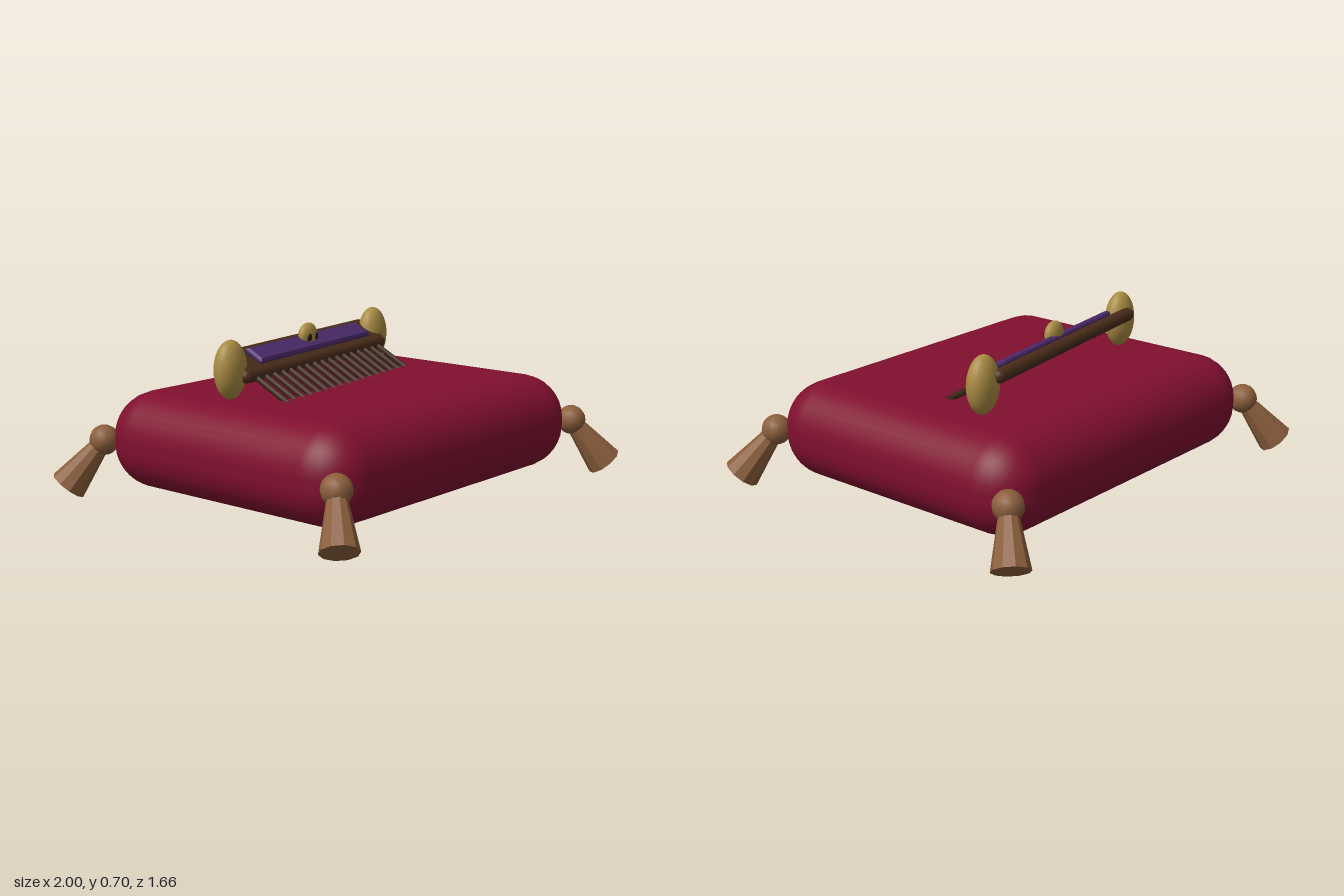
import * as THREE from 'three';
import { RoundedBoxGeometry } from 'three/addons/geometries/RoundedBoxGeometry.js';

const material = (name, color, flatShading = false) => {
  const m = new THREE.MeshStandardMaterial({ color, flatShading });
  m.name = name;
  return m;
};

function add(parent, name, geometry, mat, x = 0, y = 0, z = 0) {
  const mesh = new THREE.Mesh(geometry, mat);
  mesh.name = name;
  mesh.position.set(x, y, z);
  parent.add(mesh);
  return mesh;
}

export function createModel() {
  const velvet = material('burgundy velvet', 0x800f2f);
  const cord = material('tan cord', 0x8b5e3c);
  const wood = material('dark wood', 0x4a2c1a);
  const toothWood = material('darker wood', 0x3b2416);
  const gold = material('old gold', 0xa98b43);
  const purple = material('purple inlay', 0x4b2a6b);
  const socket = material('socket brown', 0x2a1810);

  const model = new THREE.Group();
  model.name = 'combOnCushion';

  // Cushion
  add(model, 'cushion', new RoundedBoxGeometry(1.68, 0.42, 1.35, 4, 0.195), velvet, 0, 0.25, 0);

  // Corner tassels: a knot and a flared faceted skirt
  const knotGeo = new THREE.SphereGeometry(0.065, 12, 10);
  const up = new THREE.Vector3(0, 1, 0);
  const skirtGeo = new THREE.CylinderGeometry(0.035, 0.08, 0.25, 10).toNonIndexed();
  skirtGeo.computeVertexNormals();
  for (const sx of [-1, 1]) for (const sz of [-1, 1]) {
    const tassel = new THREE.Group();
    tassel.name = 'tassel';
    model.add(tassel);
    const top = new THREE.Vector3(sx * 0.815, 0.25, sz * 0.65);
    const end = new THREE.Vector3(sx * 0.93, 0.05, sz * 0.762);
    add(tassel, 'tasselKnot', knotGeo, cord, top.x, top.y, top.z);
    const skirt = add(tassel, 'tasselSkirt', skirtGeo, cord);
    skirt.position.copy(top).lerp(end, 0.5);
    skirt.quaternion.setFromUnitVectors(up, top.clone().sub(end).normalize());
  }

  // Comb: turned on the cushion; its plate leans forward onto its teeth
  const comb = new THREE.Group();
  comb.name = 'comb';
  comb.position.set(-0.02, 0.585, -0.205);
  comb.rotation.y = 0.135;
  model.add(comb);
  const plate = new THREE.Group();
  plate.name = 'combPlate';
  plate.rotation.x = Math.PI / 6;
  comb.add(plate);

  // Wooden spine with rounded long edges
  add(plate, 'spine', new THREE.BoxGeometry(1.07, 0.06, 0.13), wood);
  const edgeGeo = new THREE.CapsuleGeometry(0.03, 1.05, 6, 12).rotateZ(Math.PI / 2);
  for (const z of [-0.065, 0.065]) add(plate, 'spineEdge', edgeGeo, wood, 0, 0, z);

  // Teeth
  const toothGeo = new THREE.CapsuleGeometry(0.013, 0.23, 4, 8).rotateX(Math.PI / 2);
  for (let i = 0; i < 17; i++) {
    add(plate, 'tooth', toothGeo, toothWood, -0.48 + i * 0.06, 0, 0.17);
  }

  // Bevelled inlay on the upper face
  const panel = new THREE.Shape();
  panel.moveTo(-0.418, -0.038);
  panel.lineTo(0.418, -0.038);
  panel.lineTo(0.418, 0.038);
  panel.lineTo(-0.418, 0.038);
  const inlayGeo = new THREE.ExtrudeGeometry(panel, {
    depth: 0.01, bevelThickness: 0.01, bevelSize: 0.01, bevelSegments: 1,
  }).rotateX(-Math.PI / 2);
  add(plate, 'inlay', inlayGeo, purple, 0, 0.035, 0);

  // Gold end knobs
  const ball = new THREE.SphereGeometry(1, 24, 18);
  for (const sx of [-1, 1]) {
    add(comb, 'endKnob', ball, gold, sx * 0.56, -0.004, 0).scale.set(0.085, 0.125, 0.06);
  }

  // Small gold skull ornament with two sockets
  add(comb, 'skull', ball, gold, 0, 0.063, 0.01).scale.set(0.06, 0.058, 0.032);
  for (const sx of [-1, 1]) {
    add(comb, 'eyeSocket', ball, socket, sx * 0.024, 0.06, 0.034).scale.set(0.015, 0.018, 0.011);
  }

  return model;
}
